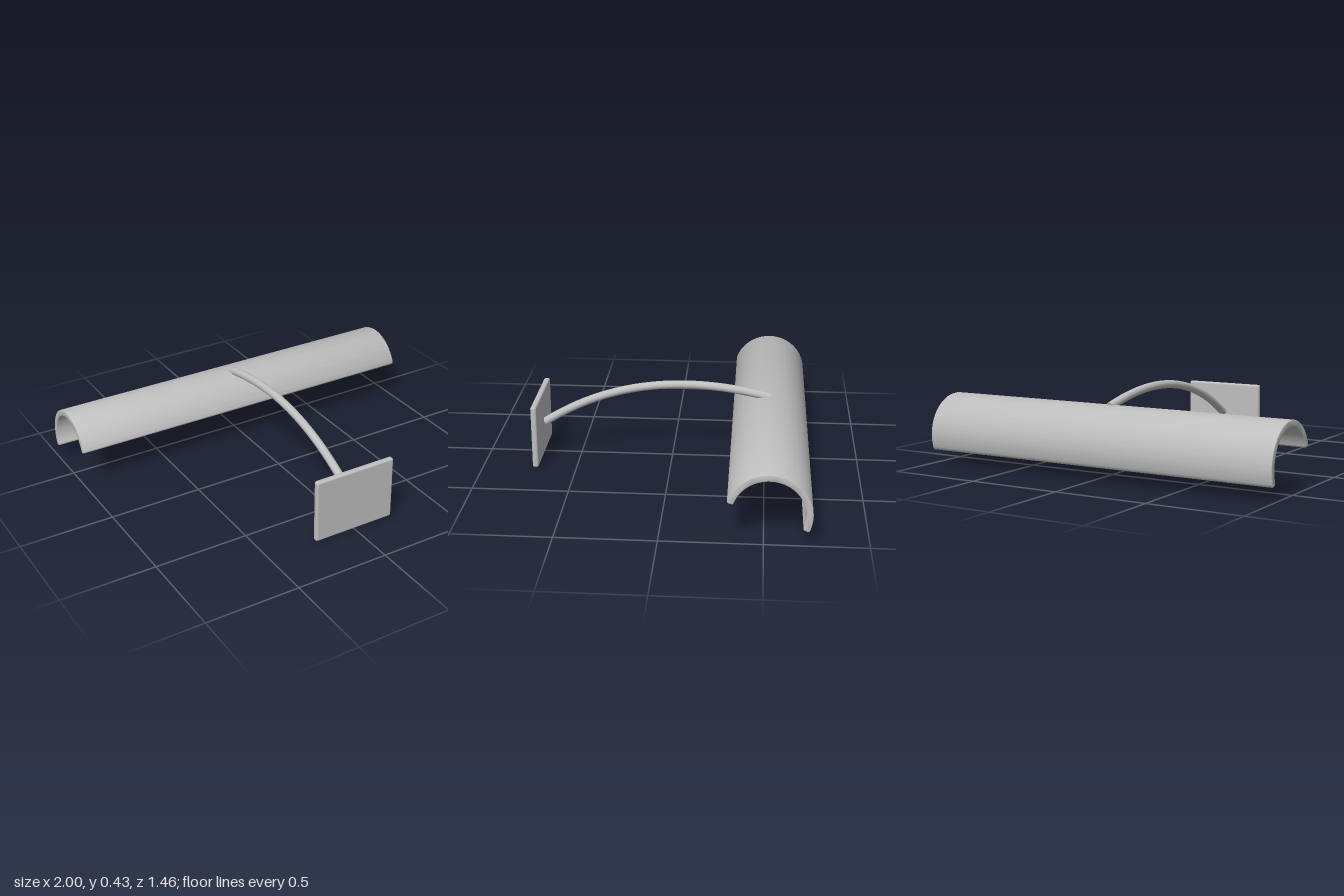
import * as THREE from 'three';
import { toCreasedNormals } from 'three/addons/utils/BufferGeometryUtils.js';
import { RoundedBoxGeometry } from 'three/addons/geometries/RoundedBoxGeometry.js';

const metal = new THREE.MeshStandardMaterial({ color: 0xbfbfbf });
metal.name = 'satin metal';

function part(name, geometry) {
  const mesh = new THREE.Mesh(geometry, metal);
  mesh.name = name;
  return mesh;
}

// Half-pipe section with softened lips, extruded along x
function shadeGeometry() {
  const cx = 0.521, cy = 0.151, outer = 0.208, inner = 0.175;
  const start = THREE.MathUtils.degToRad(-20), end = start + Math.PI;
  const soft = 0.011, bevel = 0.005, length = 2;
  // point at radius r and angle a, pushed by d along the arc direction
  const at = (r, a, d = 0) => [
    cx + r * Math.cos(a) - d * Math.sin(a),
    cy + r * Math.sin(a) + d * Math.cos(a),
  ];
  const s = new THREE.Shape();
  s.moveTo(...at(outer, start));
  s.absarc(cx, cy, outer, start, end, false);
  s.quadraticCurveTo(...at(outer, end, soft), ...at(outer - soft, end, soft));
  s.lineTo(...at(inner + soft, end, soft));
  s.quadraticCurveTo(...at(inner, end, soft), ...at(inner, end));
  s.absarc(cx, cy, inner, end, start, true);
  s.quadraticCurveTo(...at(inner, start, -soft), ...at(inner + soft, start, -soft));
  s.lineTo(...at(outer - soft, start, -soft));
  s.quadraticCurveTo(...at(outer, start, -soft), ...at(outer, start));

  const g = new THREE.ExtrudeGeometry(s, {
    depth: length - 2 * bevel, curveSegments: 40,
    bevelEnabled: true, bevelThickness: bevel, bevelSize: bevel,
    bevelOffset: -bevel, bevelSegments: 2,
  });
  g.translate(0, 0, bevel - length / 2);
  g.rotateY(Math.PI / 2);
  return toCreasedNormals(g, 0.6);
}

export function createModel() {
  const model = new THREE.Group();
  model.name = 'pictureLight';

  // Mounting plate
  const plate = part('mountingPlate', new RoundedBoxGeometry(0.456, 0.345, 0.032, 4, 0.011));
  plate.position.set(0, 0.1725, 0.718);
  model.add(plate);

  // Curved arm with closed ends
  const arm = new THREE.Group();
  arm.name = 'arm';
  const radius = 0.022;
  const path = new THREE.QuadraticBezierCurve3(
    new THREE.Vector3(0, 0.175, 0.695),
    new THREE.Vector3(0, 0.53, 0.17),
    new THREE.Vector3(0, 0.351, -0.523),
  );
  arm.add(part('armTube', new THREE.TubeGeometry(path, 48, radius, 24)));
  for (const [t, sign] of [[0, -1], [1, 1]]) {
    const cap = part('armCap', new THREE.CircleGeometry(radius, 24));
    const dir = path.getTangent(t).multiplyScalar(sign);
    cap.position.copy(path.getPoint(t));
    cap.quaternion.setFromUnitVectors(new THREE.Vector3(0, 0, 1), dir);
    arm.add(cap);
  }
  model.add(arm);

  // Trough-shaped shade
  model.add(part('shade', shadeGeometry()));

  return model;
}
